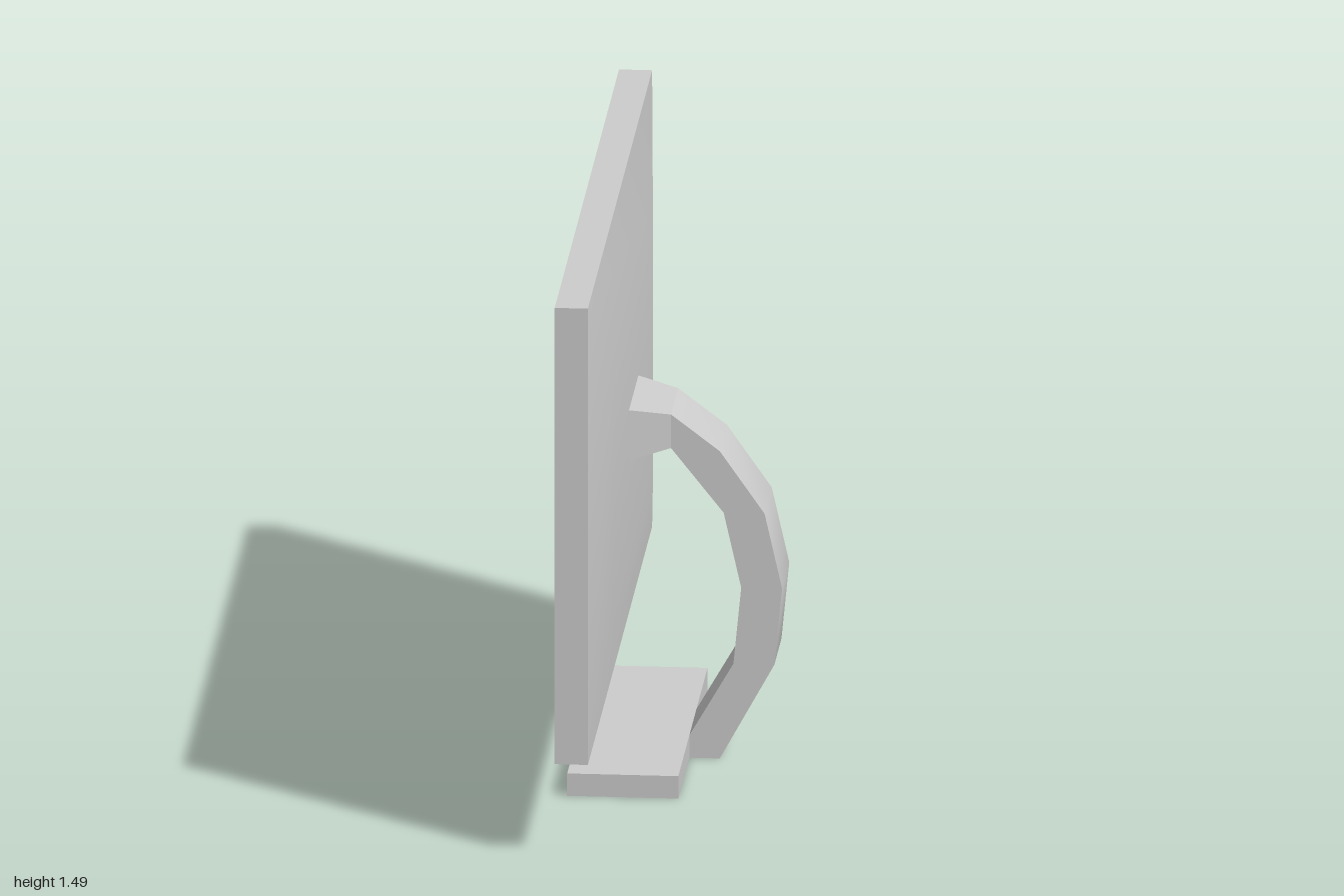
import * as THREE from 'three';
import { toCreasedNormals } from 'three/addons/utils/BufferGeometryUtils.js';

const material = new THREE.MeshStandardMaterial({ color: 0xcccccc });

const BOTTOM = 0.26, TOP = 1.485, MID = (BOTTOM + TOP) / 2;
const FRONT = -0.25, SEAM = -0.165, BACK = -0.13;
const ARM_WIDTH = 0.222;

function addMesh(group, name, geometry) {
  const mesh = new THREE.Mesh(geometry, material);
  mesh.name = name;
  group.add(mesh);
}

// Box given by its lower and upper corners
function boxBetween([x0, y0, z0], [x1, y1, z1]) {
  return new THREE.BoxGeometry(x1 - x0, y1 - y0, z1 - z0)
    .translate((x0 + x1) / 2, (y0 + y1) / 2, (z0 + z1) / 2);
}

function polygon(points) {
  return new THREE.Shape(points.map(([x, y]) => new THREE.Vector2(x, y)));
}

// Side profile extruded to the arm width, centred on z = 0
function armPiece(points) {
  return new THREE.ExtrudeGeometry(polygon(points), { depth: ARM_WIDTH, bevelEnabled: false })
    .translate(0, 0, -ARM_WIDTH / 2);
}

// Rectangular bezel ring, extruded through the panel thickness
function bezelGeometry() {
  const rect = (inset) => [
    [-1 + inset, BOTTOM + inset], [1 - inset, BOTTOM + inset],
    [1 - inset, TOP - inset], [-1 + inset, TOP - inset],
  ];
  const shape = polygon(rect(0));
  shape.holes.push(polygon(rect(0.025)));
  return new THREE.ExtrudeGeometry(shape, { depth: SEAM - FRONT, bevelEnabled: false })
    .rotateY(Math.PI / 2).translate(FRONT, 0, 0);
}

// Shallow rear cover that narrows towards the back
function rearCoverGeometry() {
  const geometry = boxBetween([SEAM, BOTTOM, -1], [BACK, TOP, 1]);
  const p = geometry.attributes.position;
  for (let i = 0; i < p.count; i++) {
    if (p.getX(i) < (SEAM + BACK) / 2) continue;
    p.setY(i, MID + (p.getY(i) - MID) * 0.595);
    p.setZ(i, p.getZ(i) * 0.6);
  }
  return toCreasedNormals(geometry, 0.5);
}

// Short neck that flares where it meets the rear cover
function neckGeometry() {
  const geometry = armPiece([[BACK, 0.805], [-0.025, 0.83], [-0.025, 0.92], [BACK, 0.94]]);
  const p = geometry.attributes.position;
  for (let i = 0; i < p.count; i++) {
    if (p.getX(i) < -0.1) p.setZ(i, p.getZ(i) * 1.32);
  }
  geometry.computeVertexNormals();
  return geometry;
}

export function createModel() {
  const model = new THREE.Group();
  model.name = 'monitor';

  // Display panel
  const display = new THREE.Group();
  display.name = 'display';
  addMesh(display, 'bezel', bezelGeometry());
  addMesh(display, 'screen', boxBetween([FRONT + 0.012, BOTTOM + 0.02, -0.98], [SEAM, TOP - 0.02, 0.98]));
  addMesh(display, 'rearCover', rearCoverGeometry());

  // Stand with curved arm
  const stand = new THREE.Group();
  stand.name = 'stand';
  addMesh(stand, 'neck', neckGeometry());
  addMesh(stand, 'arm', toCreasedNormals(armPiece([
    [-0.025, 0.92], [-0.025, 0.83], [0.11, 0.66], [0.155, 0.46], [0.135, 0.255], [0.022, 0.06],
    [0.022, 0], [0.10, 0], [0.24, 0.255], [0.26, 0.46], [0.215, 0.66], [0.10, 0.825],
  ]), 0.55));
  addMesh(stand, 'base', boxBetween([-0.263, 0, -0.454], [0.022, 0.06, 0.454]));

  model.add(display, stand);
  return model;
}
